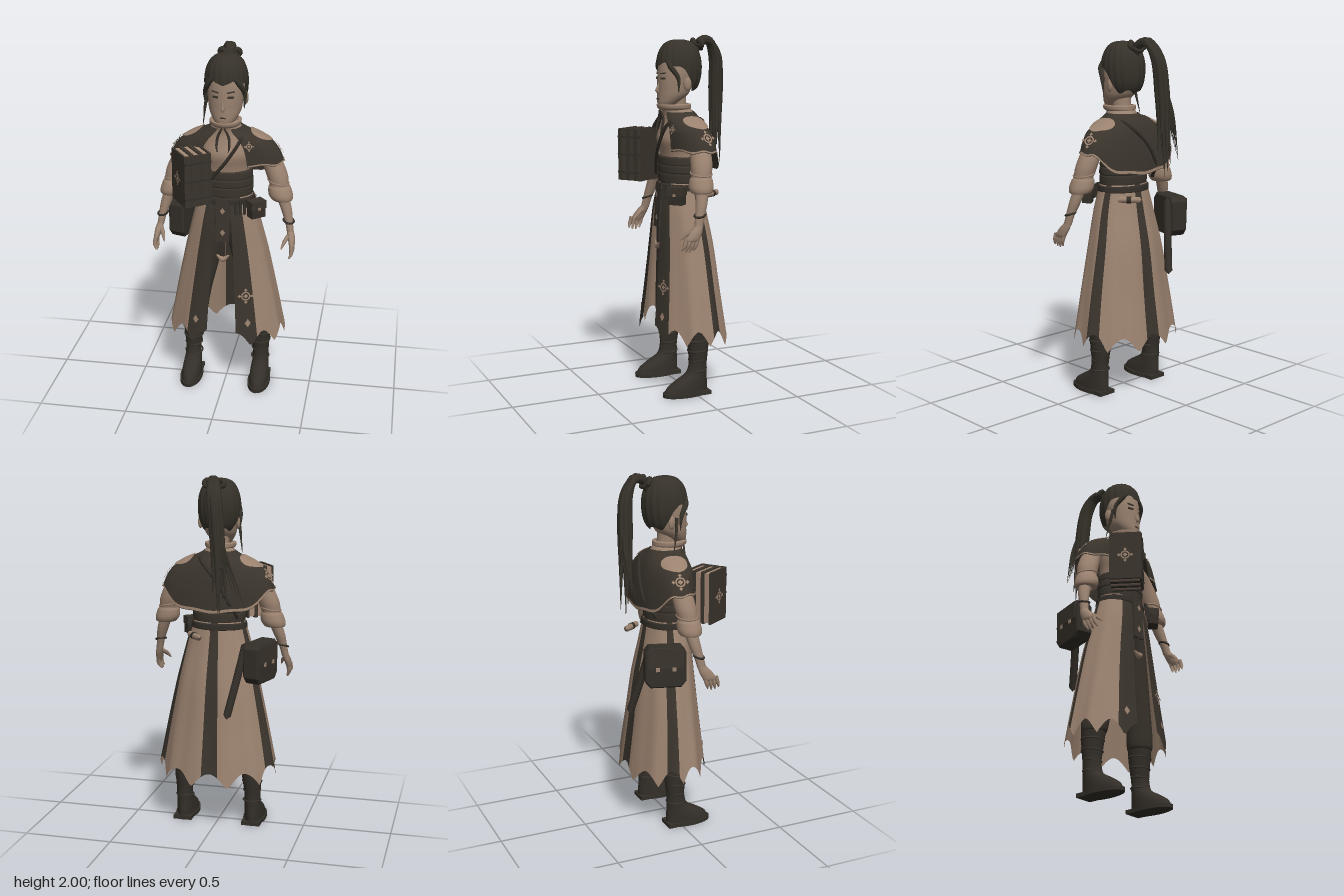
import * as THREE from 'three';
import { mergeVertices } from 'three/addons/utils/BufferGeometryUtils.js';

const mat = (name, color, side = THREE.DoubleSide) => new THREE.MeshStandardMaterial({ name, color, side });
const M = {
  cloth: mat('tan cloth', 0x9b826f), skin: mat('skin', 0x98816f), dark: mat('dark cloth', 0x3a342c),
  hair: mat('hair', 0x36322a), leather: mat('leather', 0x332e28), paper: mat('paper', 0xa48975),
};
const V = (x, y, z) => new THREE.Vector3(x, y, z);
const D = Math.PI / 180;
const smooth = (a, b, x) => THREE.MathUtils.smoothstep(x, a, b);

export function createModel() {
  const root = new THREE.Group();
  const add = (geo, m, name, parent = root) => {
    const mesh = new THREE.Mesh(geo, m);
    mesh.name = name;
    parent.add(mesh);
    return mesh;
  };
  const box = (w, h, d, m, name, x, y, z, parent) => {
    const b = add(new THREE.BoxGeometry(w, h, d), m, name, parent);
    b.position.set(x, y, z);
    return b;
  };
  // Smooth grid surface from a rule f(u, v)
  const surf = (f, nu, nv) => {
    const pos = [], idx = [];
    for (let j = 0; j <= nv; j++) for (let i = 0; i <= nu; i++) pos.push(...f(i / nu, j / nv).toArray());
    for (let j = 0; j < nv; j++) for (let i = 0; i < nu; i++) {
      const a = j * (nu + 1) + i, b = a + nu + 1;
      idx.push(a, a + 1, b + 1, a, b + 1, b);
    }
    let g = new THREE.BufferGeometry();
    g.setAttribute('position', new THREE.Float32BufferAttribute(pos, 3));
    g.setIndex(idx);
    g = mergeVertices(g);
    g.computeVertexNormals();
    return g;
  };
  // Horizontal elliptical rings, bottom to top: [y, cx, cz, rx, rz]; angle 0 faces front
  const rings = rows => {
    const c = new THREE.CatmullRomCurve3(rows.map(r => V(r[1], r[0], r[2])));
    const s = new THREE.CatmullRomCurve3(rows.map(r => V(r[3], r[4] ?? r[3], 0)));
    return (a, v) => {
      const p = c.getPoint(v), r = s.getPoint(v);
      return V(p.x + Math.max(r.x, 0) * Math.sin(a), p.y, p.z + Math.max(r.y, 0) * Math.cos(a));
    };
  };
  const loft = (rows, m, name, seg = 24, parent) => {
    const f = rings(rows);
    return add(surf((u, v) => f(u === 1 ? 0 : u * 2 * Math.PI, v), seg, rows.length * 3), m, name, parent);
  };
  // Tube along points with its own radius at each: [x, y, z, r]
  const taper = (pts, m, name, seg = 8, parent) => {
    const curve = new THREE.CatmullRomCurve3(pts.map(p => V(p[0], p[1], p[2])));
    const n = pts.length * 4, g = new THREE.TubeGeometry(curve, n, 1, seg), p = g.attributes.position, q = V();
    for (let i = 0; i <= n; i++) {
      const t = curve.getUtoTmapping(i / n) * (pts.length - 1), k = Math.min(Math.floor(t), pts.length - 2);
      const r = THREE.MathUtils.lerp(pts[k][3], pts[k + 1][3], t - k), c = curve.getPointAt(i / n);
      for (let j = 0; j <= seg; j++) {
        const id = i * (seg + 1) + j;
        q.fromBufferAttribute(p, id).sub(c).multiplyScalar(r).add(c);
        p.setXYZ(id, q.x, q.y, q.z);
      }
    }
    return add(g, m, name, parent);
  };
  // Ring and diamond ornament lying on a surface
  const ornament = (p, normal, s, ring = true) => {
    const g = new THREE.Group();
    g.name = 'ornament';
    if (ring) add(new THREE.RingGeometry(s * 0.52, s * 0.75, 16), M.cloth, 'ornamentRing', g);
    add(new THREE.CircleGeometry(s * 0.4, 4), M.cloth, 'ornamentDiamond', g).scale.y = ring ? 1 : 1.4;
    if (ring) for (let i = 0; i < 4; i++) {
      const d = add(new THREE.CircleGeometry(s * 0.28, 4), M.cloth, 'ornamentPoint', g);
      d.position.set(Math.cos(i * Math.PI / 2) * s, Math.sin(i * Math.PI / 2) * s, 0);
    }
    g.position.copy(p).addScaledVector(normal, 0.006);
    g.lookAt(g.position.clone().add(normal));
    root.add(g);
  };
  const ornamentOn = (f, a, v, s, ring) => {
    const p = f(a, v), du = f(a + 0.02, v).sub(p), dv = f(a, v + 0.02).sub(p);
    ornament(p, du.cross(dv).normalize(), s, ring);
  };

  // Head and face
  loft([[1.592, 0, 0.09, 0], [1.6, 0, 0.088, 0.03, 0.032], [1.635, 0, 0.066, 0.064, 0.062], [1.68, 0, 0.038, 0.088, 0.088],
    [1.74, 0, 0.025, 0.097, 0.1], [1.8, 0, 0.018, 0.101, 0.104], [1.87, 0, 0.01, 0.09, 0.1], [1.93, 0, 0, 0]], M.skin, 'head', 32);
  loft([[1.52, 0, -0.01, 0.065], [1.6, 0, 0.01, 0.052], [1.7, 0, 0.02, 0.055]], M.skin, 'neck');
  taper([[0, 1.75, 0.118, 0.005], [0, 1.72, 0.126, 0.008], [0, 1.697, 0.134, 0.011], [0, 1.688, 0.12, 0.004]], M.skin, 'nose');
  box(0.03, 0.007, 0.006, M.dark, 'mouth', 0, 1.652, 0.127);
  for (const s of [1, -1]) {
    const eye = box(0.032, 0.011, 0.006, M.dark, 'eye', s * 0.042, 1.765, 0.117);
    eye.rotation.set(0, s * 0.42, 0);
    const brow = box(0.04, 0.006, 0.006, M.hair, 'eyebrow', s * 0.043, 1.793, 0.116);
    brow.rotation.set(0, s * 0.42, s * 0.12);
    const ear = add(new THREE.SphereGeometry(1, 12, 10), M.skin, 'ear');
    ear.scale.set(0.012, 0.036, 0.022);
    ear.position.set(s * 0.106, 1.735, -0.002);
    ear.rotation.y = s * -0.3;
  }

  // Swept hair cap, domed on top, with combed ridges
  add(surf((u, v) => {
    const a = u === 1 ? 0 : u * 360, b = Math.min(a, 360 - a);
    const edge = 1.842 - 0.145 * smooth(62, 125, b) - 0.01 * Math.cos(b * 6 * D);
    const th = Math.acos((edge - 1.825) / 0.155) * (1 - v);
    const r = Math.max(Math.sin(th), 0) ** (th < Math.PI / 2 ? 0.68 : 0.5) * (1 + 0.018 * Math.cos(18 * a * D + 3 * v));
    return V(0.118 * r * Math.sin(a * D), 1.825 + 0.15 * Math.cos(th), 0.002 + 0.127 * r * Math.cos(a * D));
  }, 108, 16), M.hair, 'hairCap');
  for (const s of [1, -1]) {
    taper([[s * 0.045, 1.88, 0.1, 0.01], [s * 0.085, 1.83, 0.09, 0.016], [s * 0.108, 1.77, 0.055, 0.012], [s * 0.104, 1.69, 0.05, 0.002]], M.hair, 'sideLock');
    taper([[0, 1.94, -0.1, 0.01], [s * 0.045, 1.97, -0.105, 0.016], [s * 0.055, 1.945, -0.115, 0.014], [0, 1.93, -0.11, 0.008]], M.hair, 'hairBow');
  }
  taper([[-0.1, 1.76, 0.03, 0.01], [-0.115, 1.68, 0.02, 0.008], [-0.13, 1.57, 0.0, 0.001]], M.hair, 'longLock');
  const tie = add(new THREE.TorusGeometry(0.03, 0.011, 8, 16), M.leather, 'hairTie');
  tie.position.set(0, 1.94, -0.108);
  tie.rotation.x = Math.PI / 2 - 0.6;
  // Ponytail of tapering strands
  for (let i = 0; i < 9; i++) {
    const a = i * 2.4, k = i ? 0.024 : 0, dx = k * Math.cos(a), dz = k * Math.sin(a), end = 1.24 + (i * 5 % 9) * 0.035;
    taper([[0, 1.9, -0.09, 0.022], [dx * 0.4 - 0.002, 1.96, -0.125 + dz * 0.3, 0.02], [-0.012 + dx * 0.7, 1.972 + dz * 0.4, -0.18, 0.019],
      [-0.03 + dx, 1.89, -0.235 + dz * 0.7, 0.019], [-0.05 + dx, 1.7, -0.252 + dz, 0.019], [-0.06 + dx * 1.2, 1.52, -0.256 + dz, 0.013],
      [-0.065 + dx * 1.8, end, -0.258 + dz * 1.2, 0.001]], M.hair, 'ponytailStrand', 7);
  }
  for (let i = 0; i < 4; i++) taper([[-0.045, 1.78, -0.25, 0.01], [-0.075 - i * 0.01, 1.6, -0.278, 0.007], [-0.11 - i * 0.028, 1.44 - i * 0.04, -0.275 + i * 0.012, 0.001]], M.hair, 'looseStrand', 6);

  // Blouse, collar and neck ribbons
  loft([[1.28, 0, -0.005, 0.13, 0.1], [1.36, 0, 0, 0.135, 0.106], [1.43, 0, 0.01, 0.145, 0.112], [1.5, 0, 0, 0.135, 0.102],
    [1.56, 0, 0.005, 0.095, 0.088], [1.6, 0, 0.02, 0.072, 0.082]], M.cloth, 'blouse', 32);
  loft([[1.59, 0, 0.025, 0.074, 0.086], [1.602, 0, 0.03, 0.086, 0.096], [1.62, 0, 0.032, 0.088, 0.098], [1.624, 0, 0.03, 0.07, 0.08]], M.cloth, 'collar');
  for (const s of [1, -1]) taper([[s * 0.008, 1.59, 0.116, 0.005], [s * 0.03, 1.54, 0.11, 0.008], [s * 0.035, 1.49, 0.122, 0.007], [s * 0.03, 1.46, 0.126, 0.003]], M.dark, 'neckRibbon', 5);

  // Capelet covering the upper arms, open at the front and pointed at the back
  const capeRings = rings([[1.375, 0, -0.024, 0.32, 0.145], [1.43, 0, -0.021, 0.3, 0.14], [1.485, 0, -0.014, 0.262, 0.132],
    [1.53, 0, -0.007, 0.19, 0.119], [1.562, 0, 0.003, 0.115, 0.102], [1.58, 0, 0.008, 0.086, 0.089]]);
  const cape = (a, v, out = 0) => {
    const p = capeRings(a, v), back = smooth(0.3, 1, -Math.cos(a)), full = 1 + 0.025 * Math.sin(2 * a) ** 2;
    p.y -= 0.12 * back * (1 - v) ** 2 - 0.006 * Math.cos(9 * a) * (1 - v) ** 2;
    return V(p.x * full + out * Math.sin(a), p.y + out, p.z * full + out * Math.cos(a));
  };
  const a0 = 24 * D, a1 = 336 * D;
  add(surf((u, v) => cape(a0 + u * (a1 - a0), v), 72, 18), M.dark, 'capelet');
  add(surf((u, v) => cape(a0 + u * (a1 - a0), v * 0.03, 0.004), 72, 1), M.cloth, 'capeletTrim');
  for (const s of [1, -1]) {
    add(surf((u, v) => cape(s * 96 * D + 0.6 * u * Math.cos(v * 2 * Math.PI), 0.6 + 0.16 * u * Math.sin(v * 2 * Math.PI), 0.005), 6, 24), M.cloth, 'shoulderPatch');
    ornamentOn(cape, s * 97 * D, 0.28, 0.038);
  }
  ornamentOn(cape, 32 * D, 0.42, 0.022);
  taper([[0.1, 1.56, 0.02, 0.009], [0.09, 1.52, 0.108, 0.01], [0.02, 1.41, 0.13, 0.01], [-0.05, 1.32, 0.118, 0.01], [-0.13, 1.22, 0.085, 0.01]], M.leather, 'chestStrap', 6);
  taper([[0.1, 1.56, 0.02, 0.009], [0.08, 1.535, -0.1, 0.01], [-0.03, 1.42, -0.16, 0.01], [-0.1, 1.3, -0.155, 0.01], [-0.13, 1.22, -0.1, 0.01]], M.leather, 'backStrap', 6);

  // Sash, belt and hips
  loft([[1.185, 0, 0, 0.14, 0.104], [1.19, 0, 0, 0.149, 0.111], [1.235, 0, 0, 0.151, 0.112], [1.242, 0, 0, 0.147, 0.109], [1.249, 0, 0, 0.152, 0.113], [1.28, 0, 0, 0.151, 0.113],
    [1.287, 0, 0, 0.146, 0.109], [1.294, 0, 0, 0.149, 0.111], [1.33, 0, 0, 0.146, 0.11], [1.336, 0, 0, 0.135, 0.1]], M.dark, 'sash', 32);
  loft([[1.145, 0, 0, 0.15, 0.114], [1.15, 0, 0, 0.16, 0.124], [1.18, 0, 0, 0.157, 0.122], [1.185, 0, 0, 0.145, 0.11]], M.leather, 'belt', 32);
  loft([[0.9, 0, -0.01, 0.03, 0.04], [0.96, 0, -0.01, 0.12, 0.09], [1.06, 0, 0, 0.14, 0.1], [1.2, 0, 0, 0.13, 0.095]], M.dark, 'hips');

  // Long coat in angular panels with a ragged, pointed hem, lowest at the back
  const coatRings = rings([[0.375, 0, -0.022, 0.335, 0.224], [0.6, 0, -0.017, 0.29, 0.194], [0.85, 0, -0.012, 0.237, 0.167], [1.05, 0, 0, 0.188, 0.138], [1.19, 0, 0, 0.148, 0.112]]);
  const coat = (a, v) => {
    const p = coatRings(a, v), w = 1 - v, k = 1 + 0.025 * Math.cos(11 * a) * w;
    const tip = 1 - Math.abs(Math.sin(5.5 * a + 0.5 * Math.sin(a)));
    return V(p.x * k, p.y + w ** 4 * (0.015 - 0.085 * tip - 0.04 * smooth(0, 1, -Math.cos(a))), p.z * k);
  };
  const panels = [[15, 37, 'dark'], [37, 99, 'cloth'], [99, 115, 'dark'], [115, 172, 'cloth'], [172, 188, 'dark'],
    [188, 245, 'cloth'], [245, 261, 'dark'], [261, 323, 'cloth'], [323, 345, 'dark']];
  for (const [from, to, m] of panels)
    add(surf((u, v) => coat((from + u * (to - from)) * D, v), Math.ceil((to - from) / 3), 20), M[m], m === 'dark' ? 'coatStripe' : 'coatPanel');
  ornamentOn(coat, 28 * D, 0.28, 0.036);
  for (const s of [1, -1]) ornamentOn(coat, s * 28 * D, 0.12, 0.045, false);

  // Front hanging apron with buckles
  const apron = box(0.075, 0.25, 0.012, M.dark, 'apron', 0, 1.06, 0.128);
  apron.rotation.x = -0.06;
  box(0.03, 0.16, 0.014, M.leather, 'apronStrap', 0, 0.9, 0.128);
  for (const y of [1.12, 0.99]) ornament(V(0, y, 0.134), V(0, 0, 1), 0.036, false);
  taper([[-0.035, 0.85, 0.13, 0.005], [0, 0.828, 0.135, 0.019], [0.035, 0.85, 0.13, 0.005]], M.cloth, 'knot');

  for (const s of [1, -1]) {
    // Trousers gathered over the boots, and soles
    loft([[0.345, s * 0.197, -0.02, 0.055], [0.365, s * 0.195, -0.018, 0.07], [0.41, s * 0.19, -0.015, 0.074], [0.55, s * 0.163, 0, 0.07], [0.75, s * 0.125, 0, 0.08],
      [0.95, s * 0.085, 0, 0.085, 0.09], [1.08, s * 0.07, 0, 0.07, 0.09]], M.dark, 'trouserLeg');
    loft([[0.02, s * 0.203, 0.052, 0.056, 0.13], [0.05, s * 0.203, 0.043, 0.055, 0.122], [0.085, s * 0.203, 0.018, 0.052, 0.094], [0.125, s * 0.203, -0.014, 0.047, 0.06],
      [0.18, s * 0.203, -0.022, 0.046, 0.052], [0.27, s * 0.2, -0.024, 0.056, 0.06], [0.36, s * 0.197, -0.02, 0.064, 0.066], [0.365, s * 0.197, -0.02, 0.05]], M.leather, 'boot');
    const sole = add(new THREE.CylinderGeometry(1, 1, 0.022, 28), M.leather, 'sole');
    sole.scale.set(0.065, 1, 0.137);
    sole.position.set(s * 0.203, 0.011, 0.053);
    box(0.108, 0.022, 0.08, M.leather, 'heel', s * 0.203, 0.011, -0.042);
    for (const [y, r] of [[0.14, 0.05], [0.2, 0.048], [0.255, 0.055], [0.315, 0.061]]) {
      const band = add(new THREE.TorusGeometry(r, 0.005, 6, 24), M.dark, 'bootStrap');
      band.position.set(s * 0.2, y, -0.022);
      band.rotation.set(Math.PI / 2 + 0.1, 0, 0);
    }
    // Puffed sleeves, forearms and hands
    loft([[1.16, s * 0.318, 0.012, 0.036], [1.165, s * 0.316, 0.012, 0.058], [1.195, s * 0.306, 0.01, 0.068], [1.235, s * 0.298, 0.006, 0.062], [1.25, s * 0.296, 0.004, 0.054],
      [1.31, s * 0.28, -0.004, 0.06], [1.4, s * 0.24, -0.012, 0.056], [1.46, s * 0.185, -0.012, 0.05], [1.5, s * 0.14, -0.01, 0.035]], M.cloth, 'sleeve');
    const band = add(new THREE.TorusGeometry(0.058, 0.005, 6, 24), M.cloth, 'sleeveBand');
    band.position.set(s * 0.292, 1.265, 0.003);
    band.rotation.set(Math.PI / 2, -s * 0.2, 0);
    loft([[0.985, s * 0.37, 0.055, 0.019, 0.025], [1.04, s * 0.36, 0.043, 0.022, 0.026], [1.11, s * 0.342, 0.025, 0.031, 0.033], [1.18, s * 0.318, 0.012, 0.036]], M.skin, 'forearm', 16);
    const bracelet = add(new THREE.TorusGeometry(0.029, 0.006, 6, 20), M.leather, 'bracelet');
    bracelet.position.set(s * 0.358, 1.05, 0.042);
    bracelet.rotation.set(Math.PI / 2 + 0.25, -s * 0.2, 0);
    loft([[0.905, s * 0.383, 0.103, 0.006, 0.027], [0.925, s * 0.384, 0.095, 0.016, 0.04], [0.96, s * 0.378, 0.075, 0.02, 0.037], [0.995, s * 0.369, 0.054, 0.019, 0.025]], M.skin, 'palm', 14);
    for (let i = 0; i < 4; i++) {
      const z = 0.068 + i * 0.022;
      taper([[s * 0.384, 0.93, z, 0.012], [s * 0.386, 0.893, z + 0.011, 0.011], [s * 0.374, 0.852 + Math.abs(i - 1.4) * 0.009, z + 0.022, 0.004]], M.skin, 'finger', 6);
    }
    taper([[s * 0.365, 0.975, 0.07, 0.013], [s * 0.345, 0.95, 0.112, 0.012], [s * 0.33, 0.918, 0.147, 0.004]], M.skin, 'thumb', 6);
  }

  // Belt pouch and vials
  const pouch = new THREE.Group();
  pouch.name = 'pouch';
  pouch.position.set(0.182, 1.13, 0.098);
  pouch.rotation.y = 0.7;
  root.add(pouch);
  box(0.085, 0.09, 0.055, M.leather, 'pouchBody', 0, 0, 0, pouch);
  box(0.092, 0.045, 0.064, M.dark, 'pouchFlap', 0, 0.03, 0, pouch);
  box(0.014, 0.014, 0.006, M.cloth, 'pouchClasp', 0, 0.01, 0.034, pouch);
  for (let i = 0; i < 3; i++) taper([[0.075 + i * 0.022, 1.18, 0.126 - i * 0.01, 0.008], [0.075 + i * 0.022, 1.1, 0.136 - i * 0.01, 0.008]], M.leather, 'vial', 8);

  // Three hanging books
  const books = new THREE.Group();
  books.name = 'books';
  books.position.set(-0.163, 1.335, 0.18);
  books.rotation.y = 0.6;
  root.add(books);
  for (let i = -1; i <= 1; i++) {
    const x = i * 0.052;
    for (const s of [1, -1]) box(0.011, 0.29, 0.178, M.dark, 'bookCover', x + s * 0.0205, 0, 0, books);
    box(0.031, 0.276, 0.166, M.paper, 'bookPages', x, 0, -0.003, books);
    const spine = add(new THREE.CylinderGeometry(0.025, 0.025, 0.29, 12, 1, false, -Math.PI / 2, Math.PI), M.dark, 'bookSpine', books);
    spine.position.set(x, 0, 0.079);
    spine.scale.z = 0.6;
    for (const y of [-0.1, 0, 0.1]) box(0.05, 0.012, 0.006, M.leather, 'spineBand', x, y, 0.092, books);
  }
  for (const x of [-0.026, 0.026]) box(0.007, 0.286, 0.17, M.leather, 'bookDivider', x, 0, 0, books);
  const sideways = V(-Math.cos(0.6), 0, Math.sin(0.6));
  ornament(books.position.clone().addScaledVector(sideways, 0.077), sideways, 0.035);

  // Hip bag, baton and scroll
  const bag = new THREE.Group();
  bag.name = 'hipBag';
  bag.position.set(-0.262, 0.99, -0.115);
  bag.rotation.y = -0.3;
  root.add(bag);
  const o = new THREE.Shape([[-0.105, -0.075], [-0.08, -0.105], [0.08, -0.105], [0.105, -0.075], [0.105, 0.08], [0.085, 0.105], [-0.085, 0.105], [-0.105, 0.08]].map(p => new THREE.Vector2(...p)));
  const body = add(new THREE.ExtrudeGeometry(o, { depth: 0.08, bevelSize: 0.008, bevelThickness: 0.008, bevelSegments: 1 }), M.leather, 'bagBody', bag);
  body.rotation.y = -Math.PI / 2;
  body.position.x = 0.04;
  box(0.012, 0.1, 0.19, M.dark, 'bagFlap', -0.05, 0.05, 0, bag);
  for (const z of [-0.045, 0.045]) box(0.006, 0.022, 0.022, M.cloth, 'bagStud', -0.056, -0.005, z, bag);
  taper([[-0.19, 1.1, -0.16, 0.001], [-0.19, 1.095, -0.161, 0.024], [-0.15, 0.9, -0.205, 0.022], [-0.105, 0.69, -0.258, 0.022], [-0.104, 0.683, -0.26, 0.001]], M.leather, 'baton', 10);
  taper([[0.145, 1.12, -0.105, 0.001], [0.143, 1.12, -0.107, 0.017], [0.062, 1.12, -0.205, 0.017], [0.06, 1.12, -0.207, 0.001]], M.cloth, 'scroll', 10);
  taper([[0.112, 1.12, -0.145, 0.02], [0.096, 1.12, -0.165, 0.02]], M.leather, 'scrollTie', 10);
  return root;
}
